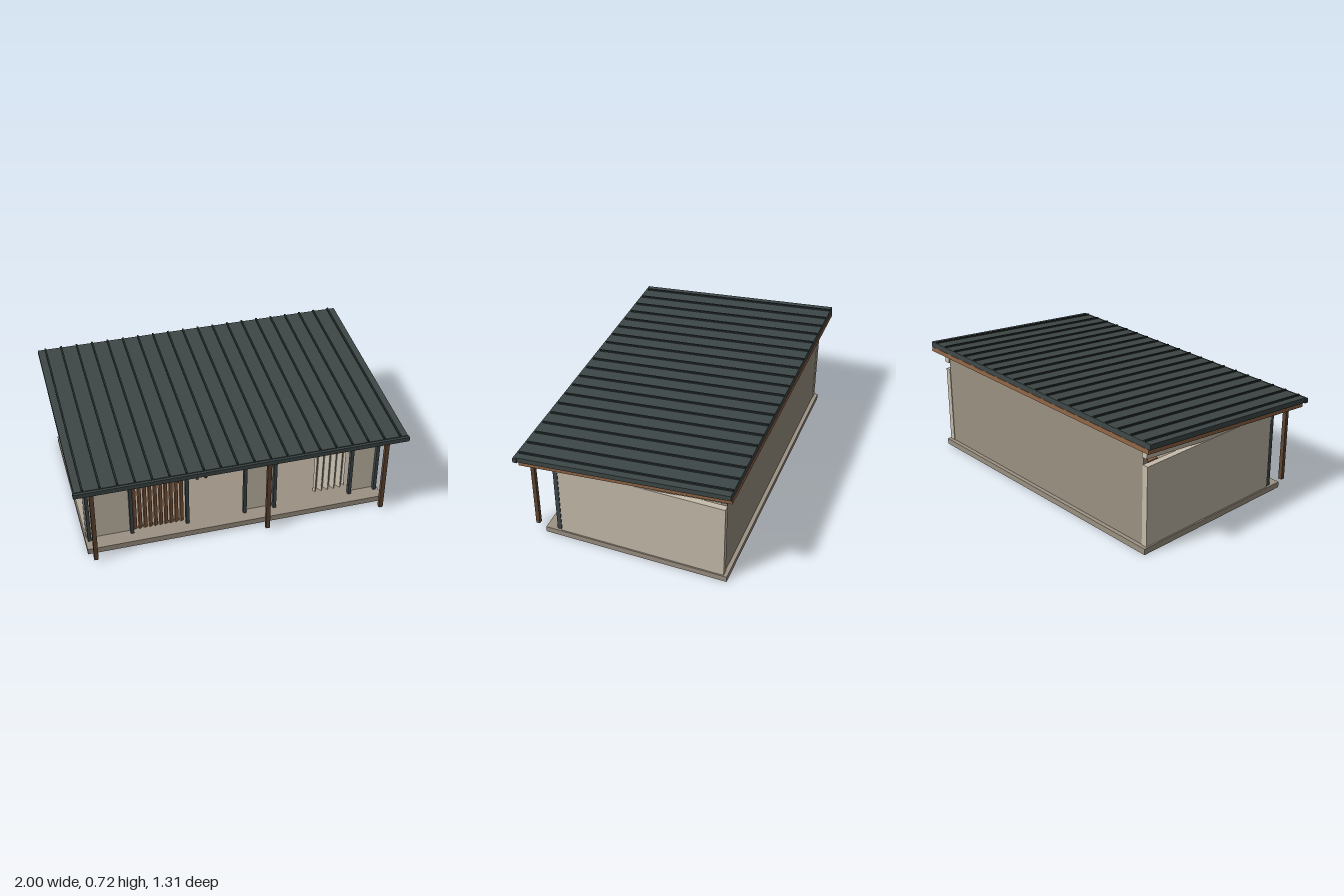
import * as THREE from 'three';

const mat = (name, color, side = THREE.FrontSide) => {
  const m = new THREE.MeshStandardMaterial({ color, side });
  m.name = name;
  return m;
};

export function createModel() {
  const M = {
    plaster: mat('beige plaster', 0xc6bcaa),
    stone: mat('warm grey', 0x9c9183),
    roof: mat('roof metal', 0x3d4646),
    rib: mat('dark seam metal', 0x293030),
    frame: mat('frame metal', 0x3e484b),
    wood: mat('wood', 0x8f6445),
    darkWood: mat('dark wood', 0x5f4633),
    curtain: mat('curtain cloth', 0xc9c1b2, THREE.DoubleSide),
    pot: mat('pottery', 0x8b806f),
  };
  const house = new THREE.Group();
  house.name = 'house';

  const add = (name, geo, material, parent = house) => {
    const m = new THREE.Mesh(geo, material);
    m.name = name;
    parent.add(m);
    return m;
  };
  // box given by its limits on each axis
  const box = (name, material, [x0, x1], [y0, y1], [z0, z1], parent = house) => {
    const m = add(name, new THREE.BoxGeometry(x1 - x0, y1 - y0, z1 - z0), material, parent);
    m.position.set((x0 + x1) / 2, (y0 + y1) / 2, (z0 + z1) / 2);
    return m;
  };

  const FLOOR = 0.037, HEAD = 0.485, SLOPE = 0.0985;
  const soffit = (z) => 0.527 + (0.63 - z) * SLOPE;

  // floor slab and walls
  box('floorSlab', M.stone, [-0.93, 0.93], [0, FLOOR], [-0.615, 0.525]);
  box('backWall', M.stone, [-0.885, 0.885], [FLOOR, 0.646], [-0.59, -0.555]);
  for (const [a, b] of [[-0.92, -0.65], [0.065, 0.245], [0.745, 0.92]])
    box('frontWall', M.plaster, [a, b], [FLOOR, HEAD], [0.39, 0.425]);
  box('frontLintel', M.plaster, [-0.915, 0.915], [HEAD, 0.548], [0.39, 0.434]);

  // side walls, each with a sloping band under the roof
  const band = new THREE.Shape([
    [0.434, soffit(0.434) - 0.065], [-0.6, soffit(-0.6) - 0.065],
    [-0.594, soffit(-0.594) + 0.004], [0.434, soffit(0.434) + 0.004],
  ].map(([z, y]) => new THREE.Vector2(-z, y)));
  for (const s of [-1, 1]) {
    const xs = s > 0 ? [0.885, 0.922] : [-0.922, -0.885];
    box('sideWall', M.plaster, xs, [FLOOR, 0.535], [-0.594, 0.42]);
    const g = new THREE.ExtrudeGeometry(band, { depth: 0.035, bevelEnabled: false });
    g.rotateY(Math.PI / 2);
    add('gableBand', g, M.plaster).position.x = s > 0 ? 0.885 : -0.92;
  }

  // tilted roof: wooden deck, metal sheet and standing seams
  const roof = new THREE.Group();
  roof.name = 'roof';
  roof.position.set(0, soffit(-0.01), -0.01);
  roof.rotation.x = Math.atan(SLOPE);
  house.add(roof);
  box('roofDeck', M.wood, [-0.985, 0.985], [0, 0.027], [-0.645, 0.643], roof);
  box('roofSheet', M.roof, [-0.993, 0.993], [0.027, 0.059], [-0.643, 0.653], roof);
  for (let i = 0; i < 20; i++) {
    const x = -0.945 + i * 0.0995;
    box('roofSeam', M.rib, [x - 0.005, x + 0.005], [0.059, 0.069], [-0.643, 0.65], roof);
  }
  box('gutter', M.roof, [-1, 1], [0.552, 0.58], [0.635, 0.661]);

  // wooden porch posts
  for (const x of [-0.893, 0.158, 0.89])
    box('porchPost', M.darkWood, [x - 0.0125, x + 0.0125], [0.02, 0.535], [0.583, 0.607]);

  // metal uprights of the front
  for (const x of [-0.905, -0.645, -0.303, 0.058, 0.247, 0.738, 0.905]) {
    const top = Math.abs(x) > 0.9 ? 0.518 : HEAD;
    box('metalUpright', M.frame, [x - 0.01, x + 0.01], [FLOOR, top], [0.43, 0.456]);
  }

  // slatted screen
  for (let i = 0; i < 10; i++) {
    const slat = box('screenSlat', M.wood, [-0.011, 0.011], [FLOOR, HEAD], [0.41, 0.421]);
    slat.position.x = -0.62 + i * 0.032;
    slat.rotation.y = 0.45;
  }

  // pleated curtain
  const cloth = new THREE.PlaneGeometry(0.205, 0.435, 48, 1);
  const p = cloth.attributes.position;
  for (let i = 0; i < p.count; i++)
    p.setZ(i, 0.016 * Math.sin(((p.getX(i) + 0.1025) / 0.205) * Math.PI * 10));
  cloth.computeVertexNormals();
  add('curtain', cloth, M.curtain).position.set(0.63, 0.256, 0.365);

  // counter with stone top
  box('counter', M.wood, [-0.29, 0.31], [FLOOR, 0.19], [-0.2, -0.05]);
  box('counterTop', M.stone, [-0.31, 0.33], [0.19, 0.21], [-0.22, -0.03]);

  // stools
  for (const x of [-0.29, -0.115]) {
    const stool = new THREE.Group();
    stool.name = 'stool';
    stool.position.set(x, 0, 0.035);
    house.add(stool);
    box('stoolSeat', M.wood, [-0.045, 0.045], [0.12, 0.136], [-0.04, 0.04], stool);
    for (const lx of [-0.028, 0.028]) for (const lz of [-0.026, 0.026])
      box('stoolLeg', M.darkWood, [lx - 0.007, lx + 0.007], [FLOOR, 0.12], [lz - 0.007, lz + 0.007], stool);
  }

  // shelves and light panel on the back wall
  box('lowerShelf', M.wood, [-0.63, 0.07], [0.218, 0.236], [-0.555, -0.42]);
  box('upperShelf', M.darkWood, [-0.63, 0.07], [0.402, 0.418], [-0.555, -0.45]);
  box('wallPanel', M.plaster, [-0.63, 0.07], [0.236, 0.345], [-0.555, -0.547]);

  // pots on the upper shelf
  for (const [x, r, h] of [[-0.208, 0.028, 0.05], [-0.124, 0.017, 0.042], [0.005, 0.025, 0.058]]) {
    const profile = [[0, 0], [0.5, 0], [0.9, 0.25], [1, 0.5], [0.85, 0.78], [0.45, 1], [0, 1]];
    const g = new THREE.LatheGeometry(profile.map(([a, b]) => new THREE.Vector2(a * r, b * h)), 20);
    add('pot', g, M.pot).position.set(x, 0.418, -0.5);
  }
  return house;
}
